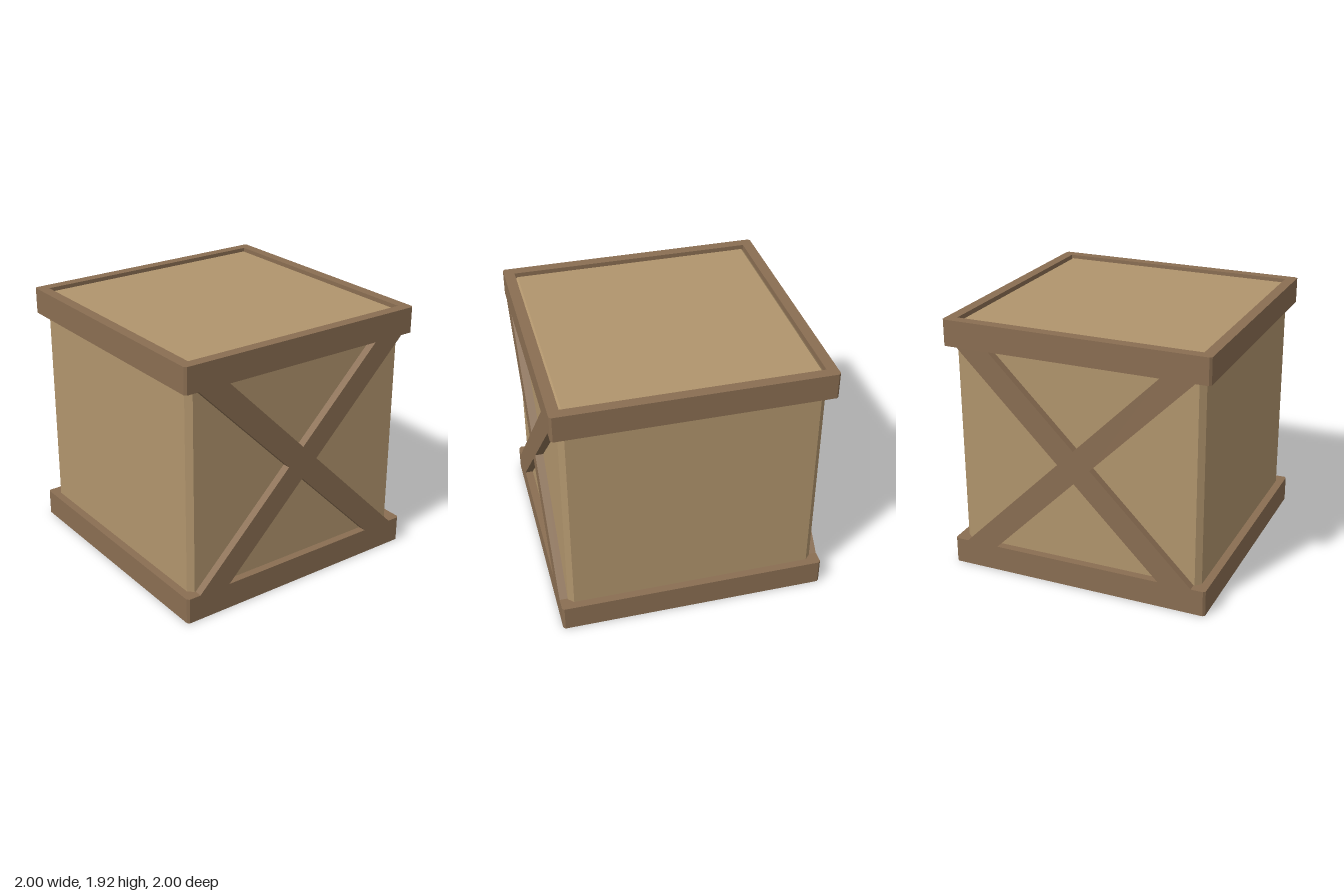
import * as THREE from 'three';
import { ConvexGeometry } from 'three/addons/geometries/ConvexGeometry.js';

const HEIGHT = 1.925, BAND = 0.195, MID = HEIGHT / 2;
const INNER = 0.92; // inside half-width of the frame

function polygon(points) {
  return points.map(([x, y]) => new THREE.Vector2(x, y));
}

// Cube with every edge and corner chamfered
function chamferedCube(half, chamfer) {
  const points = [], inset = half - chamfer;
  for (const sx of [-1, 1]) for (const sy of [-1, 1]) for (const sz of [-1, 1]) {
    for (let axis = 0; axis < 3; axis++) {
      const p = [inset, inset, inset];
      p[axis] = half;
      points.push(new THREE.Vector3(sx * p[0], sy * p[1], sz * p[2]));
    }
  }
  return new ConvexGeometry(points);
}

// Square ring with clipped outer corners
function bandGeometry() {
  const a = 1, b = 0.984, i = INNER;
  const shape = new THREE.Shape(polygon([
    [a, -b], [a, b], [b, a], [-b, a], [-a, b], [-a, -b], [-b, -a], [b, -a],
  ]));
  shape.holes.push(new THREE.Path(polygon([[-i, -i], [-i, i], [i, i], [i, -i]])));
  const geometry = new THREE.ExtrudeGeometry(shape, { depth: BAND, bevelEnabled: false });
  return geometry.rotateX(-Math.PI / 2);
}

// Diagonal cross, cut level where it meets the bands
function braceGeometry() {
  const h = MID - BAND, w = 0.125; // half height, half thickness along x
  const shape = new THREE.Shape(polygon([
    [w, 0], [h + w, h], [h - w, h], [0, w], [w - h, h], [-h - w, h],
    [-w, 0], [-h - w, -h], [w - h, -h], [0, -w], [h - w, -h], [h + w, -h],
  ]));
  return new THREE.ExtrudeGeometry(shape, { depth: 1 - INNER, bevelEnabled: false });
}

export function createModel() {
  const lightWood = new THREE.MeshStandardMaterial({ name: 'lightWood', color: 0xb1956d });
  const darkWood = new THREE.MeshStandardMaterial({ name: 'darkWood', color: 0x8a6e52 });
  const crate = new THREE.Group();
  crate.name = 'crate';

  const add = (name, geometry, material, y) => {
    const mesh = new THREE.Mesh(geometry, material);
    mesh.name = name;
    mesh.position.y = y;
    crate.add(mesh);
    return mesh;
  };

  // Panelled box, slightly recessed below the rims
  add('body', chamferedCube(0.94, 0.04), lightWood, MID);

  // Bands around the bottom and top
  const band = bandGeometry();
  add('bottomBand', band, darkWood, 0);
  add('topBand', band, darkWood, HEIGHT - BAND);

  // Crossed braces on the front and back
  const brace = braceGeometry();
  add('frontBrace', brace, darkWood, MID).position.z = INNER;
  const back = add('backBrace', brace, darkWood, MID);
  back.position.z = -INNER;
  back.rotation.y = Math.PI;

  return crate;
}
